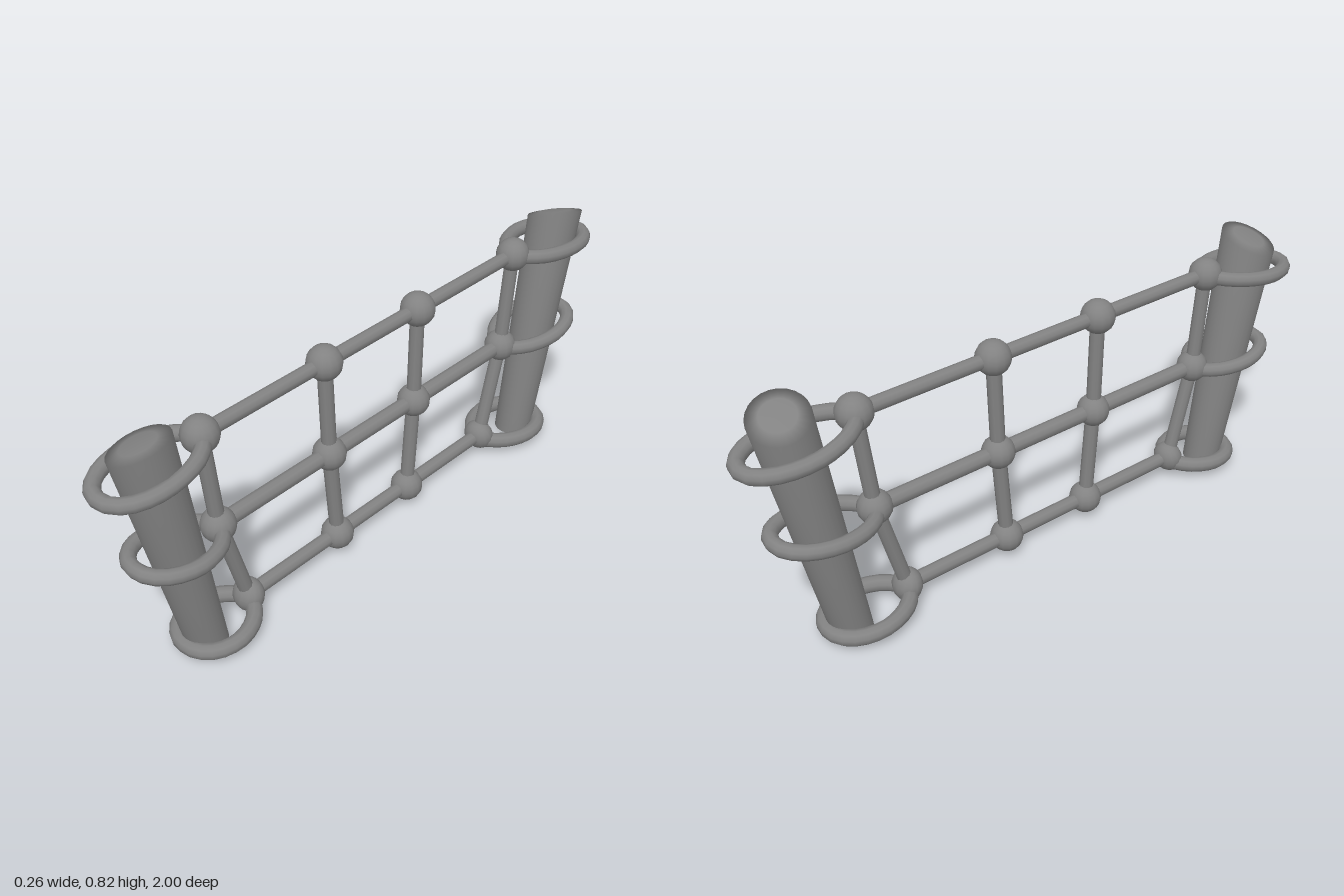
import * as THREE from 'three';
import { mergeVertices } from 'three/addons/utils/BufferGeometryUtils.js';

const material = new THREE.MeshStandardMaterial({ color: 0x828282 });
const lerp = THREE.MathUtils.lerp;

function add(parent, name, geometry) {
  const mesh = new THREE.Mesh(geometry, material);
  mesh.name = name;
  parent.add(mesh);
  return mesh;
}

// Leaning, tapered post with an oblique, slightly domed top; side is +1 or -1 along z
function postGeometry(side) {
  const profile = [[0, 0], [0.061, 0], [0.086, 1], [0.05, 1.008], [0, 1.011]];
  const lathe = new THREE.LatheGeometry(profile.map(([r, t]) => new THREE.Vector2(r, t)), 24);
  lathe.deleteAttribute('uv');
  lathe.deleteAttribute('normal');
  const geo = mergeVertices(lathe);
  const p = geo.attributes.position;
  for (let i = 0; i < p.count; i++) {
    const x = p.getX(i), z = p.getZ(i), t = p.getY(i);
    const out = z * side;
    const bottom = 0.006 - 0.1 * out;
    const top = 0.79 + 0.34 * x - 0.2 * out;
    p.setXYZ(i, x, lerp(bottom, top, t), z + side * lerp(0.708, 0.848, t));
  }
  geo.computeVertexNormals();
  return geo;
}

// Loop of rope from its knot (inner) round the back of the post (outer)
function loopGeometry(side, { shift, inner, outer, yIn, yOut, r }) {
  const outline = [[0, 0], [0.068, 0.17], [0.102, 0.5], [0.086, 0.8], [0.045, 0.96], [0, 1],
    [-0.045, 0.96], [-0.086, 0.8], [-0.102, 0.5], [-0.068, 0.17]];
  const points = outline.map(([x, t]) => new THREE.Vector3(
    x + shift * Math.sin(Math.PI * Math.min(t, 0.6)), lerp(yIn, yOut, t), side * lerp(inner, outer, t)));
  return new THREE.TubeGeometry(new THREE.CatmullRomCurve3(points, true), 24, r, 10, true);
}

// Straight rope between two knots
function addRope(parent, name, a, b, r) {
  const dir = b.clone().sub(a);
  const rope = add(parent, name, new THREE.CylinderGeometry(r, r, dir.length(), 10, 1, true));
  rope.position.copy(a).lerp(b, 0.5);
  rope.quaternion.setFromUnitVectors(new THREE.Vector3(0, 1, 0), dir.normalize());
}

export function createModel() {
  const model = new THREE.Group();
  model.name = 'ropeNetFence';

  // Knot grid, bottom row first
  const rows = [
    { y: 0.073, z: [0.545, 0.175, -0.145, -0.515], r: 0.023 },
    { y: 0.397, z: [0.63, 0.2, -0.17, -0.6], r: 0.025 },
    { y: 0.722, z: [0.66, 0.21, -0.18, -0.635], r: 0.022 },
  ];
  const loops = [
    { shift: 0, outer: 0.785, yIn: 0.058, yOut: 0.044, r: 0.025 },
    { shift: 0, outer: 0.912, yIn: 0.39, yOut: 0.42, r: 0.023 },
    { shift: -0.01, outer: 0.977, yIn: 0.718, yOut: 0.688, r: 0.023 },
  ];

  // Posts with three rope loops each
  for (const side of [1, -1]) {
    const end = new THREE.Group();
    end.name = side > 0 ? 'frontPost' : 'backPost';
    model.add(end);
    add(end, 'post', postGeometry(side));
    loops.forEach((loop, i) => {
      const inner = Math.abs(rows[i].z[side > 0 ? 0 : 3]);
      add(end, 'ropeLoop', loopGeometry(side, { ...loop, inner }));
    });
  }

  // Net of knots and ropes
  const net = new THREE.Group();
  net.name = 'net';
  model.add(net);
  const knots = rows.map(({ y, z }) => z.map((v) => new THREE.Vector3(0, y, v)));
  knots.forEach((row, i) => row.forEach((knot, j) => {
    const ball = add(net, 'knot', new THREE.SphereGeometry(i === 2 ? 0.054 : 0.052, 14, 10));
    ball.position.copy(knot);
    // Bottom end knots are pulled slightly flat
    if (i === 0 && j % 3 === 0) {
      ball.scale.z = 0.85;
      ball.rotation.x = j === 0 ? -0.25 : 0.25;
    }
    if (j < 3) addRope(net, 'horizontalRope', knot, row[j + 1], rows[i].r);
    if (i < 2) addRope(net, 'verticalRope', knot, knots[i + 1][j], 0.023);
  }));

  return model;
}
